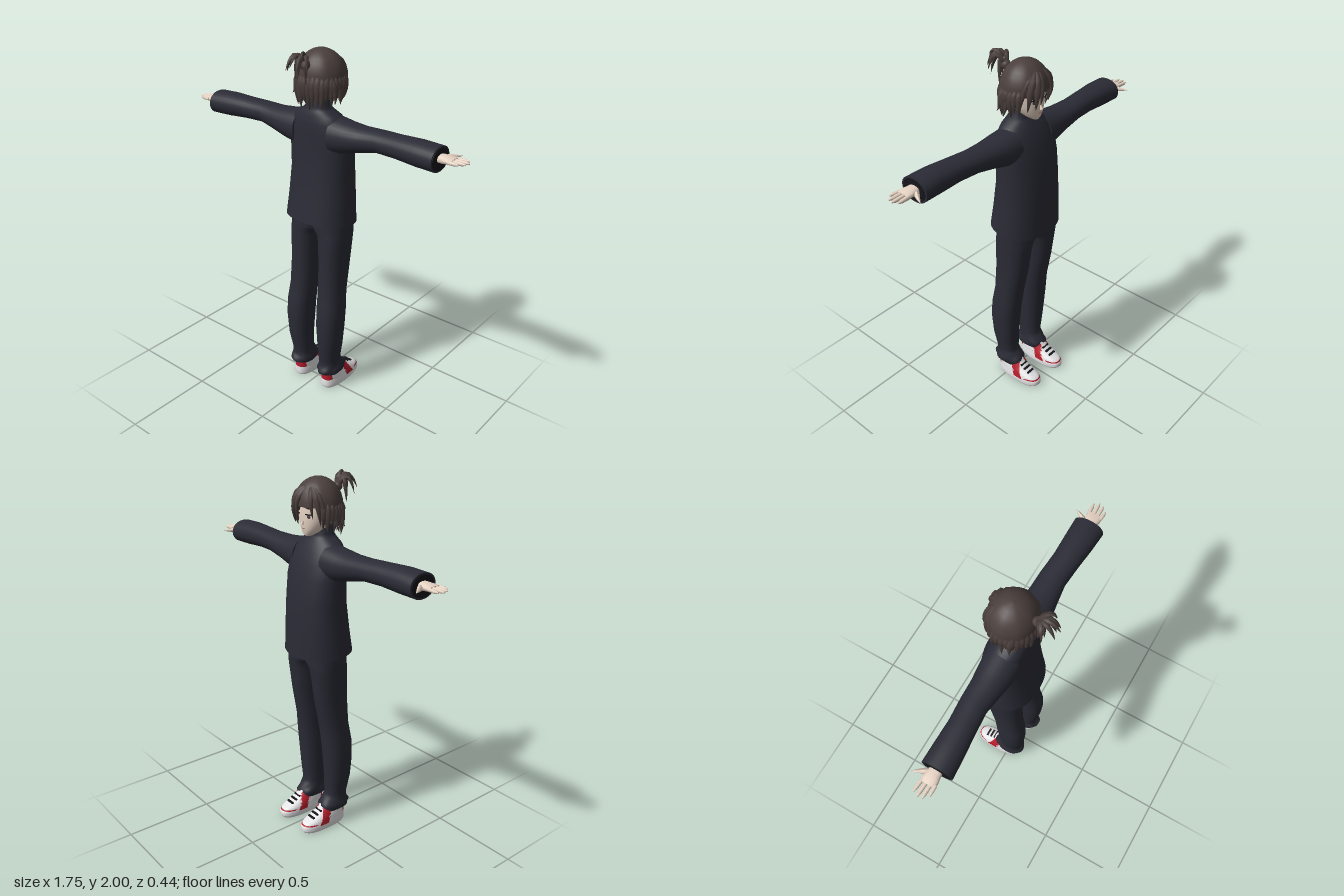
import * as THREE from 'three';

const mat = (name, color, double) => {
  const m = new THREE.MeshStandardMaterial({ color });
  m.name = name;
  if (double) m.side = THREE.DoubleSide;
  return m;
};
const V = (x, y, z) => new THREE.Vector3(x, y, z);

// Skin over cross-sections [s, uMin, uMax, vMin, vMax, tilt]; u is x (upright) or y (along x), v is z
function loft(rings, { along = 'y', n = 28, p = 2.3, sub = 1, ripple = null } = {}) {
  const rows = [];
  rings.forEach((r, i) => {
    const next = rings[i + 1];
    if (!next) return rows.push(r);
    for (let k = 0; k < sub; k++) rows.push(r.map((a, c) => a + ((next[c] ?? 0) - a) * k / sub));
  });
  rows.unshift(rows[0]); // doubled end rings keep the caps crisp
  rows.push(rows[rows.length - 1]);
  const pos = [], idx = [], last = rows.length - 1;
  const put = (s, u, v) => along === 'y' ? pos.push(u, s, v) : pos.push(s, u, v);
  const tri = (a, b, c) => along === 'y' ? idx.push(a, b, c) : idx.push(a, c, b);
  const bend = (x) => Math.sign(x) * Math.abs(x) ** (2 / p);
  for (const [s, u0, u1, v0, v1, tilt = 0] of rows) {
    for (let j = 0; j < n; j++) {
      const t = j / n * Math.PI * 2, cu = bend(Math.cos(t)), cv = bend(Math.sin(t));
      const k = ripple ? ripple(s, t) : 1;
      put(s + tilt * cv, (u0 + u1) / 2 + (u1 - u0) / 2 * cu * k, (v0 + v1) / 2 + (v1 - v0) / 2 * cv * k);
    }
  }
  for (let i = 1; i < last - 1; i++) for (let j = 0; j < n; j++) {
    const a = i * n + j, b = i * n + (j + 1) % n;
    tri(a, a + n, b);
    tri(b, a + n, b + n);
  }
  for (const i of [0, last]) {
    const [s, u0, u1, v0, v1] = rows[i], c = pos.length / 3;
    put(s, (u0 + u1) / 2, (v0 + v1) / 2);
    for (let j = 0; j < n; j++) {
      const a = i * n + j, b = i * n + (j + 1) % n;
      i ? tri(c, b, a) : tri(c, a, b);
    }
  }
  return finish(pos, idx);
}

function finish(pos, idx) {
  const g = new THREE.BufferGeometry();
  g.setAttribute('position', new THREE.Float32BufferAttribute(pos, 3));
  g.setIndex(idx);
  g.computeVertexNormals();
  return g;
}

// Reflected copy with corner order restored
function mirror(geo) {
  const g = geo.clone().scale(-1, 1, 1), ix = g.index.array;
  for (let i = 0; i < ix.length; i += 3) [ix[i], ix[i + 1]] = [ix[i + 1], ix[i]];
  g.computeVertexNormals();
  return g;
}

// Assign material 1 to the triangles whose centre passes the rule
function paint(geo, rule) {
  const p = geo.attributes.position, ix = geo.index.array, sets = [[], []];
  for (let i = 0; i < ix.length; i += 3) {
    const t = [ix[i], ix[i + 1], ix[i + 2]], c = V(0, 0, 0);
    t.forEach((k) => c.add(V(p.getX(k), p.getY(k), p.getZ(k)).divideScalar(3)));
    sets[rule(c) ? 1 : 0].push(...t);
  }
  geo.setIndex([...sets[0], ...sets[1]]);
  geo.addGroup(0, sets[0].length, 0);
  geo.addGroup(sets[0].length, sets[1].length, 1);
  return geo;
}

// Curved strand: widest near the root, pointed at the end
function lock(a, b, c, r) {
  const curve = new THREE.QuadraticBezierCurve3(V(...a), V(...b), V(...c)), seg = 8, rad = 6;
  const g = new THREE.TubeGeometry(curve, seg, r, rad), p = g.attributes.position;
  for (let i = 0; i <= seg; i++) {
    const o = curve.getPointAt(i / seg), k = Math.min(1, 0.5 + i / 4) * (1 - (i / seg) ** 2);
    for (let j = 0; j <= rad; j++) {
      const q = i * (rad + 1) + j, v = V(p.getX(q), p.getY(q), p.getZ(q)).sub(o).multiplyScalar(k).add(o);
      p.setXYZ(q, v.x, v.y, v.z);
    }
  }
  g.computeVertexNormals();
  return g;
}

export function createModel() {
  const root = new THREE.Group();
  const cloth = mat('dark cloth', 0x2a2b35), lining = mat('lining', 0x16161b);
  const hairMat = mat('hair', 0x4a3f3c, true), skin = mat('skin', 0xe6d3c3);
  const white = mat('shoe white', 0xe4e4e6), red = mat('shoe red', 0xb51d2b);
  const add = (name, geo, m, parent = root) => {
    const mesh = new THREE.Mesh(geo, m);
    mesh.name = name;
    parent.add(mesh);
    return mesh;
  };
  const pair = (name, geo, m) => {
    add(name + 'Left', geo, m);
    add(name + 'Right', mirror(geo), m);
  };

  // Jacket body with standing collar
  add('jacket', loft([
    [1.065, -0.2, 0.2, -0.18, 0.135, 0.015], [1.2, -0.19, 0.19, -0.177, 0.115], [1.35, -0.181, 0.181, -0.17, 0.095],
    [1.48, -0.186, 0.186, -0.15, 0.086], [1.56, -0.185, 0.185, -0.127, 0.086], [1.62, -0.168, 0.168, -0.104, 0.082],
    [1.66, -0.13, 0.13, -0.08, 0.075], [1.685, -0.085, 0.085, -0.062, 0.066], [1.7, -0.068, 0.068, -0.056, 0.06],
    [1.75, -0.062, 0.062, -0.054, 0.056]], { n: 36 }), cloth);

  // Sleeves and dark cuff openings
  pair('sleeve', loft([
    [0.11, 1.46, 1.66, -0.11, 0.083], [0.2, 1.483, 1.647, -0.1, 0.08], [0.28, 1.505, 1.64, -0.09, 0.068],
    [0.38, 1.528, 1.641, -0.085, 0.056], [0.5, 1.528, 1.645, -0.076, 0.065], [0.62, 1.52, 1.65, -0.078, 0.077],
    [0.73, 1.518, 1.645, -0.08, 0.084]], { along: 'x', p: 2.1 }), cloth);
  pair('cuffOpening', loft([[0.726, 1.527, 1.636, -0.07, 0.074], [0.732, 1.527, 1.636, -0.07, 0.074]], { along: 'x', p: 2.1 }), lining);

  // Hands
  pair('palm', loft([
    [0.7, 1.567, 1.608, -0.028, 0.03], [0.75, 1.566, 1.608, -0.038, 0.034], [0.78, 1.572, 1.605, -0.042, 0.04],
    [0.805, 1.577, 1.6, -0.04, 0.038]], { along: 'x', n: 14 }), skin);
  [[-0.034, 0.862], [-0.011, 0.876], [0.011, 0.87], [0.032, 0.845]].forEach(([z, tip], i) => {
    pair('finger' + i, loft([
      [0.79, 1.578, 1.599, z - 0.01, z + 0.01], [tip - 0.02, 1.58, 1.598, z * 1.1 - 0.009, z * 1.1 + 0.009],
      [tip, 1.586, 1.593, z * 1.15 - 0.003, z * 1.15 + 0.003]], { along: 'x', n: 8 }), skin);
  });
  pair('thumb', lock([0.735, 1.586, -0.015], [0.765, 1.586, -0.055], [0.79, 1.583, -0.104], 0.016), skin);

  // Trousers: two legs meeting at the hips, with rumpled hems
  pair('trouserLeg', loft([
    [0.1, 0.038, 0.162, -0.075, 0.1, 0.008], [0.125, 0.034, 0.168, -0.088, 0.104], [0.155, 0.042, 0.16, -0.066, 0.085],
    [0.19, 0.045, 0.157, -0.042, 0.085], [0.3, 0.042, 0.174, -0.048, 0.104], [0.42, 0.036, 0.183, -0.057, 0.112],
    [0.52, 0.033, 0.184, -0.066, 0.108], [0.64, 0.028, 0.174, -0.08, 0.088], [0.8, 0.024, 0.172, -0.112, 0.08],
    [0.93, 0.016, 0.178, -0.128, 0.078], [0.985, 0.006, 0.18, -0.136, 0.077], [1.02, -0.03, 0.182, -0.14, 0.076],
    [1.1, -0.03, 0.182, -0.14, 0.075]],
  { n: 32, sub: 2, ripple: (y, t) => y < 0.17 ? 1 + 0.035 * Math.sin(t * 5 + y * 60) : 1 }), cloth);

  // High-top shoes with red heel, side and toe panels
  pair('shoe', paint(loft([
    [0, 0.046, 0.156, -0.212, 0.07], [0.012, 0.041, 0.161, -0.222, 0.075], [0.035, 0.041, 0.161, -0.222, 0.075],
    [0.055, 0.044, 0.158, -0.205, 0.073], [0.07, 0.046, 0.156, -0.17, 0.073], [0.09, 0.05, 0.152, -0.125, 0.073],
    [0.115, 0.055, 0.147, -0.095, 0.07], [0.14, 0.06, 0.142, -0.075, 0.065]], { n: 56, sub: 3, p: 2.5 }), ({ y, z }) => {
    const heel = z > 0.045 && y > 0.055;
    const side = y > 0.035 && y < 0.125 && Math.abs(z + 0.06 + (0.125 - y) * 0.5) < 0.025;
    const toe = z < -0.15 && y > 0.042 && y < 0.05;
    return heel || side || toe;
  }), [white, red]);
  for (const y of [0.078, 0.092, 0.106]) {
    const z = -0.155 + (y - 0.078) * 1.9;
    pair('shoeLace', new THREE.BoxGeometry(0.05, 0.007, 0.012).translate(0.101, y, z), lining);
  }

  // Head, neck, nose and ears
  add('head', loft([
    [1.697, -0.018, 0.018, -0.105, -0.06], [1.712, -0.04, 0.04, -0.113, -0.03], [1.74, -0.067, 0.067, -0.118, 0.02],
    [1.775, -0.085, 0.085, -0.121, 0.055], [1.83, -0.095, 0.095, -0.122, 0.075], [1.9, -0.095, 0.095, -0.115, 0.075]],
  { p: 2.1 }), skin);
  add('neck', new THREE.CylinderGeometry(0.043, 0.046, 0.11, 20).translate(0, 1.73, 0.002), skin);
  add('nose', new THREE.ConeGeometry(0.009, 0.032, 8).rotateX(0.35).translate(0, 1.772, -0.123), skin);
  pair('ear', new THREE.SphereGeometry(0.022, 12, 8).scale(0.5, 1.3, 0.8).translate(0.098, 1.79, 0.005), skin);

  // Painted eyes and mouth
  const eyeWhite = mat('eye white', 0xf2eeee), iris = mat('iris', 0x5a4038);
  for (const s of [1, -1]) {
    const eye = new THREE.Group();
    eye.name = s > 0 ? 'eyeLeft' : 'eyeRight';
    eye.position.set(s * 0.042, 1.8, -0.115);
    eye.rotation.y = Math.PI - s * 0.4;
    add('eyeball', new THREE.CircleGeometry(0.018, 16).scale(1, 0.62, 1), eyeWhite, eye);
    add('iris', new THREE.CircleGeometry(0.01, 14).translate(0, 0, 0.001), iris, eye);
    add('lash', new THREE.BoxGeometry(0.042, 0.005, 0.003).translate(0, 0.011, 0.001), lining, eye);
    root.add(eye);
  }
  add('mouth', new THREE.BoxGeometry(0.024, 0.003, 0.004).translate(0, 1.736, -0.117), mat('lips', 0xa86a60));

  // Hair cap: a dome whose hem rises over the face
  const n = 48, pos = [], idx = [], rows = 14;
  for (let i = 0; i < rows; i++) for (let j = 0; j < n; j++) {
    const t = j / n * Math.PI * 2, c = Math.cos(t), s = Math.sin(t);
    const hem = (s < -0.55 ? (c < 0.1 ? 1.838 : 1.815) : 1.762 - 0.035 * s) + 0.02 * Math.abs(j % 6 - 3) / 3;
    const a = Math.min(i / 8, 1) * Math.PI / 2, f = Math.max(0, (i - 8) / (rows - 9));
    const r = Math.max(Math.sin(a), 0.001) * (1 - 0.1 * f * f) * (1 + 0.008 * Math.cos(8 * t));
    pos.push(0.13 * r * c, f ? 1.85 + (hem - 1.85) * f : 1.85 + 0.14 * Math.cos(a), -0.02 + 0.122 * r * s);
  }
  for (let i = 0; i < rows - 1; i++) for (let j = 0; j < n; j++) {
    const a = i * n + j, b = i * n + (j + 1) % n;
    idx.push(a, b, a + n, b, b + n, a + n);
  }
  add('hairCap', finish(pos, idx), hairMat);

  // Hanging locks round the sides and back, in two layers
  for (let i = 0; i < 22; i++) {
    const t = -0.5 + i / 21 * (Math.PI + 1), c = Math.cos(t), s = Math.sin(t);
    const end = 1.735 - 0.035 * Math.max(0, s) + 0.02 * Math.sin(i * 2.4), out = 0.98 + 0.07 * Math.sin(i * 1.7);
    add('sideLock', lock([0.115 * c, 1.87, -0.02 + 0.108 * s], [0.137 * c, 1.79, -0.02 + 0.128 * s],
      [0.118 * c * out, end, -0.02 + 0.112 * s * out], 0.02), hairMat);
  }
  for (const s of [1, -1]) for (const [y, z] of [[1.735, -0.01], [1.755, 0.03]]) {
    add('flickedLock', lock([s * 0.115, 1.85, z], [s * 0.128, 1.76, z], [s * 0.142, y - 0.01, z + 0.01], 0.018), hairMat);
  }

  // Fringe: parted near the middle, longer over the left eye
  [[0.02, 1.785, -0.136, 0.02], [0.05, 1.765, -0.13, 0.024], [0.08, 1.755, -0.105, 0.024], [0.105, 1.735, -0.07, 0.02],
    [-0.075, 1.79, -0.115, 0.016], [-0.1, 1.755, -0.085, 0.02], [-0.112, 1.73, -0.055, 0.02]].forEach(([x, y, z, r]) => {
    add('fringeLock', lock([x * 0.3 - 0.01, 1.945, -0.092], [x * 1.15, 1.885, z - 0.03], [x, y, z], r), hairMat);
  });

  // Tied tuft: strands rise from the knot, then fan out and drop
  add('hairKnot', new THREE.SphereGeometry(0.026, 14, 10).translate(0, 1.925, 0.105), hairMat);
  [[0, 1.93, 0.22], [0.03, 1.9, 0.205], [-0.035, 1.91, 0.21], [0.065, 1.9, 0.165], [-0.07, 1.89, 0.16], [0.02, 1.86, 0.19],
    [-0.02, 1.84, 0.15], [0.025, 1.82, 0.128], [-0.045, 1.85, 0.13], [0.04, 1.97, 0.18]].forEach(([x, y, z]) => {
    add('tuftLock', lock([0, 1.915, 0.1], [x * 0.6, 2.045, 0.135 + (z - 0.13) * 0.3], [x, y, z], 0.016), hairMat);
  });
  return root;
}
